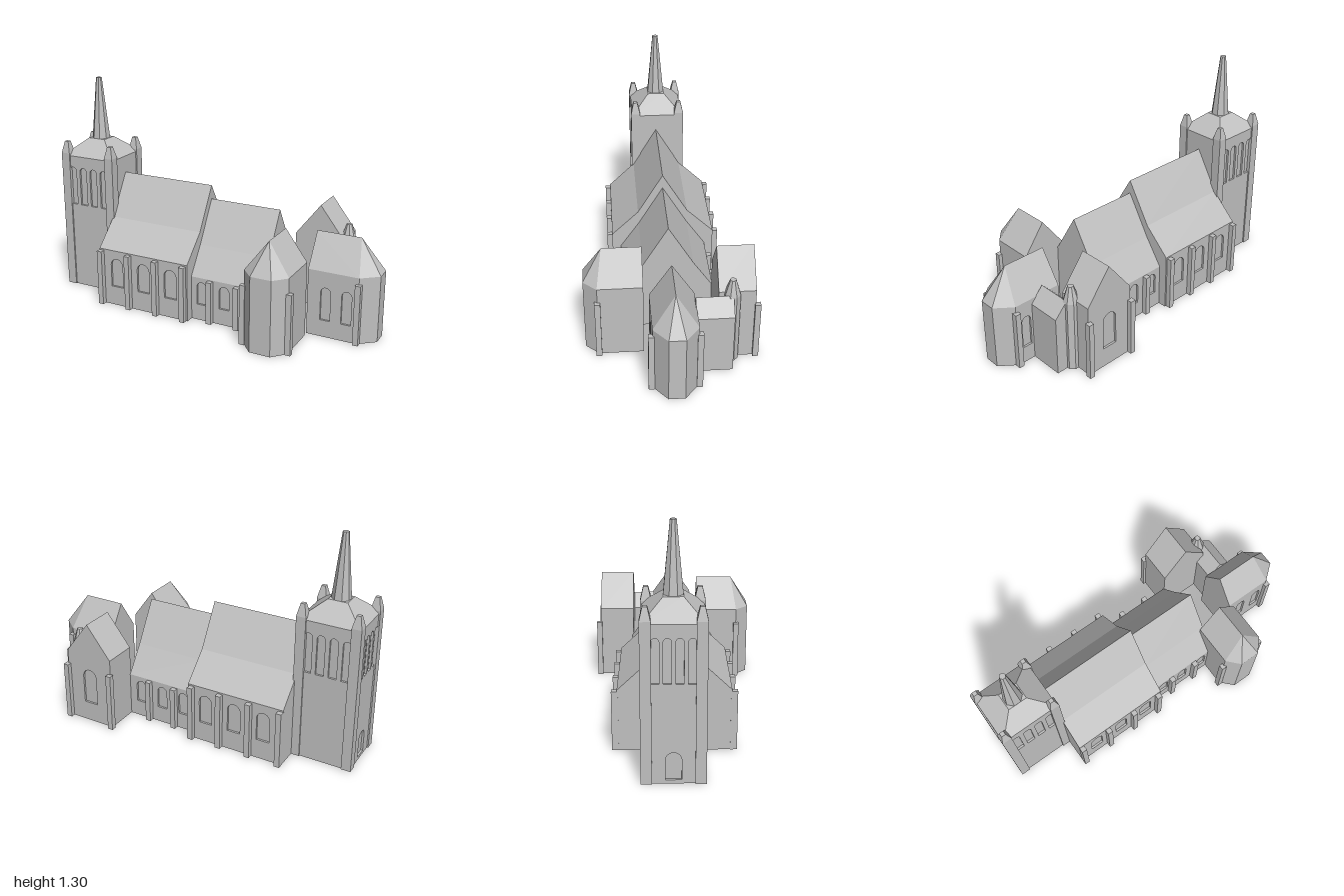
import * as THREE from 'three';
import { ConvexGeometry } from 'three/addons/geometries/ConvexGeometry.js';

const stone = new THREE.MeshStandardMaterial({ color: 0xc0c0c0 });
stone.name = 'stone grey';
const D = 0.012; // depth of window recesses

function add(parent, name, geo, x = 0, y = 0, z = 0, ry = 0) {
  const mesh = new THREE.Mesh(geo, stone);
  mesh.name = name;
  mesh.position.set(x, y, z);
  mesh.rotation.y = ry;
  parent.add(mesh);
  return mesh;
}

function section(parent, name) {
  const group = new THREE.Group();
  group.name = name;
  parent.add(group);
  return group;
}

const shapeOf = (pts) => new THREE.Shape(pts.map(([x, y]) => new THREE.Vector2(x, y)));
const mirrored = (half) => [...half, ...half.filter((p) => p[0] > 0).reverse().map(([x, y]) => [-x, y])];
const rect = (w, h) => [[-w / 2, 0], [w / 2, 0], [w / 2, h], [-w / 2, h]];
const extrude = (shape, depth) =>
  new THREE.ExtrudeGeometry(shape, { depth, bevelEnabled: false, curveSegments: 8 });

// Wall slab facing +z, pierced by round-headed openings
function wall(outline, openings) {
  const shape = shapeOf(outline);
  for (const { x, y0, y1, w } of openings) {
    const hole = new THREE.Path();
    hole.moveTo(x - w / 2, y0);
    hole.lineTo(x + w / 2, y0);
    hole.lineTo(x + w / 2, y1 - w / 2);
    hole.absarc(x, y1 - w / 2, w / 2, 0, Math.PI, false);
    hole.closePath();
    shape.holes.push(hole);
  }
  return extrude(shape, D);
}

// Flat-faced taper with a flat side toward each axis; r is the half width
function taper(sides, rBottom, rTop, h) {
  const k = 1 / Math.cos(Math.PI / sides);
  const geo = new THREE.CylinderGeometry(rTop * k, rBottom * k, h, sides)
    .rotateY(Math.PI / sides).translate(0, h / 2, 0).toNonIndexed();
  geo.computeVertexNormals();
  return geo;
}

function buttress(parent, x, z, h, w = 0.032, d = 0.032) {
  add(parent, 'buttress', new THREE.BoxGeometry(w, h, d), x, h / 2, z);
}

// Long hall along x with a two-pitch roof
function hall(root, name, o) {
  const g = section(root, name);
  const length = o.x1 - o.x0, mid = (o.x0 + o.x1) / 2;
  const profile = mirrored([[o.hw - D, 0], [o.hw - D, o.eave], [o.hw, o.eave], o.kink, [0, o.ridge]]);
  add(g, 'hallAndRoof', extrude(shapeOf(profile), length), o.x0, 0, 0, Math.PI / 2);
  for (const s of [1, -1]) {
    const openings = o.windows.map((x) => ({ x: s * (x - mid), y0: o.y0, y1: o.y1, w: o.w }));
    add(g, 'sideWall', wall(rect(length, o.eave), openings), mid, 0, s * (o.hw - D), s > 0 ? 0 : Math.PI);
    for (const x of o.buttresses) buttress(g, x, s * (o.hw + 0.012), o.buttressTop, 0.032, 0.036);
  }
}

// Chapel running along its own +z to a three-sided end
function chapel(root, name, o) {
  const g = section(root, name);
  const end = [[o.hw, o.z1], [o.fw, o.z2]];
  const plan = mirrored([[o.hw - D, o.z0], [o.hw - D, o.z1], ...end]);
  const body = extrude(shapeOf(plan.map(([x, z]) => [x, -z])), o.eave).rotateX(-Math.PI / 2);
  add(g, 'chapelBody', body);
  const eaves = mirrored([[o.hw, o.z0], ...end]).map(([x, z]) => new THREE.Vector3(x, o.eave, z));
  add(g, 'chapelRoof', new ConvexGeometry([
    ...eaves, new THREE.Vector3(0, o.ridge, o.z0), new THREE.Vector3(0, o.ridge, o.apex),
  ]));
  const mid = (o.z0 + o.z1) / 2;
  for (const s of [1, -1]) {
    const openings = o.windows.filter((v) => v.both || s < 0)
      .map((v) => ({ x: -s * (v.z - mid), y0: 0.1, y1: 0.295, w: 0.058 }));
    add(g, 'chapelWall', wall(rect(o.z1 - o.z0, o.eave), openings), s * (o.hw - D), 0, mid, s * Math.PI / 2);
    buttress(g, s * (o.hw + 0.006), o.z1, 0.352);
  }
  return g;
}

function tower(root) {
  const g = section(root, 'tower');
  const hx = 0.182, hz = 0.164, pier = 0.056, inset = 0.008;
  g.position.set(-0.818, 0, -0.009);
  const cx = hx - inset - D, cz = hz - inset - D;
  add(g, 'towerCore', new THREE.BoxGeometry(cx * 2, 0.84, cz * 2), 0, 0.42, 0);

  // Four faces; the one toward the hall is blind, the west one has a door
  for (let i = 0; i < 4; i++) {
    const a = i * Math.PI / 2, alongX = i % 2 === 0;
    const half = alongX ? hx - inset : hz - inset, dist = alongX ? cz : cx;
    const openings = [];
    if (i !== 1) {
      const gap = alongX ? 0.073 : 0.06;
      for (let k = 0; k < 4; k++) {
        openings.push({ x: (k - 1.5) * gap, y0: 0.535, y1: 0.77, w: alongX ? 0.047 : 0.04 });
      }
    }
    if (i === 3) openings.push({ x: 0, y0: 0.02, y1: 0.17, w: 0.08 });
    add(g, 'towerWall', wall(rect(half * 2, 0.84), openings), Math.sin(a) * dist, 0, Math.cos(a) * dist, a);
  }

  // Corner piers with pinnacles
  for (const sx of [1, -1]) for (const sz of [1, -1]) {
    const x = sx * (hx - pier / 2), z = sz * (hz - pier / 2);
    add(g, 'cornerPier', new THREE.BoxGeometry(pier, 0.855, pier), x, 0.4275, z);
    add(g, 'pinnacle', taper(4, pier / 2, 0.012, 0.07), x, 0.855, z);
  }

  const roof = add(g, 'towerRoof', taper(4, hx - inset, 0.056, 0.097), 0, 0.84, 0);
  roof.scale.z = (hz - inset) / (hx - inset);
  add(g, 'spire', taper(8, 0.05, 0.016, 0.37), 0, 0.935, 0);
}

// Gabled wing along z, with the windowed gable toward -z
function gabledWing(root, name, o) {
  const g = section(root, name);
  const outline = mirrored([[o.hw, 0], [o.hw, o.eave], [0, o.ridge]]);
  add(g, 'wingBody', extrude(shapeOf(outline), o.z1 - o.z0 - D), o.x, 0, o.z0 + D);
  add(g, 'gableWall', wall(outline, o.openings), o.x, 0, o.z0 + D, Math.PI);
  return g;
}

export function createModel() {
  const root = new THREE.Group();
  root.name = 'church';

  tower(root);

  hall(root, 'nave', {
    x0: -0.645, x1: -0.05, hw: 0.303, eave: 0.347, kink: [0.146, 0.497], ridge: 0.74,
    windows: [-0.527, -0.345, -0.163], y0: 0.118, y1: 0.295, w: 0.08,
    buttresses: [-0.63, -0.442, -0.257, -0.075], buttressTop: 0.338,
  });
  hall(root, 'choir', {
    x0: -0.05, x1: 0.385, hw: 0.252, eave: 0.263, kink: [0.143, 0.42], ridge: 0.658,
    windows: [0.016, 0.16, 0.307], y0: 0.097, y1: 0.235, w: 0.062,
    buttresses: [0.073, 0.245], buttressTop: 0.257,
  });

  // South chapel
  const south = chapel(root, 'southChapel', {
    hw: 0.13, fw: 0.061, z0: 0.152, z1: 0.4, z2: 0.475, eave: 0.44, apex: 0.37, ridge: 0.616, windows: [],
  });
  south.position.x = 0.486;

  // East apse, turned toward +x
  const apse = chapel(root, 'eastApse', {
    hw: 0.122, fw: 0.045, z0: 0.612, z1: 0.905, z2: 1.0, eave: 0.39, apex: 0.868, ridge: 0.576,
    windows: [{ z: 0.718 }, { z: 0.84, both: true }],
  });
  apse.rotation.y = Math.PI / 2;

  // North transept with corner buttresses
  const north = gabledWing(root, 'northTransept', {
    x: 0.535, hw: 0.15, z0: -0.448, z1: -0.245, eave: 0.44, ridge: 0.635,
    openings: [{ x: 0, y0: 0.12, y1: 0.34, w: 0.09 }],
  });
  for (const s of [1, -1]) buttress(north, 0.535 + s * 0.15, -0.459, 0.352);

  // Vestry and stair turret
  gabledWing(root, 'vestry', { x: 0.72, hw: 0.078, z0: -0.32, z1: -0.118, eave: 0.355, ridge: 0.44, openings: [] });
  const turret = section(root, 'stairTurret');
  turret.position.set(0.688, 0, -0.318);
  add(turret, 'turretShaft', taper(8, 0.042, 0.042, 0.43));
  add(turret, 'turretCap', taper(8, 0.042, 0.016, 0.093), 0, 0.43, 0);

  return root;
}
